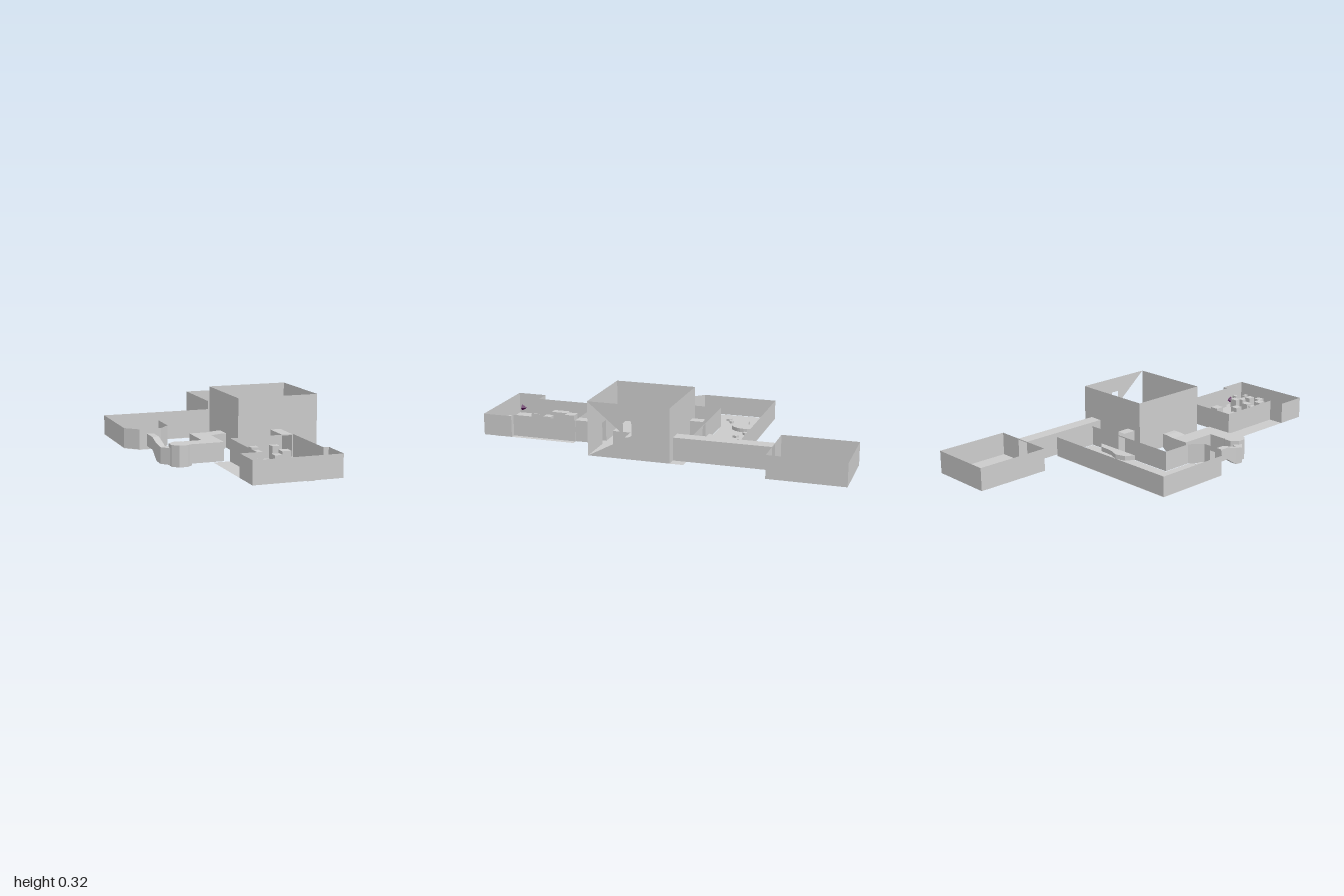
import * as THREE from 'three';

const mat = new THREE.MeshStandardMaterial({ color: 0xcccccc, flatShading: true, side: THREE.DoubleSide });
const purple = new THREE.MeshStandardMaterial({ color: 0x550055, flatShading: true, side: THREE.DoubleSide });
const F = 0.04; // common floor level

function add(group, name, geo, material = mat) {
  const mesh = new THREE.Mesh(geo, material);
  mesh.name = name;
  group.add(mesh);
  return mesh;
}

const shapeOf = pts => new THREE.Shape(pts.map(p => new THREE.Vector2(p[0], p[1])));

// Flat floor from [x, z] points
function floor(group, name, pts, y = F) {
  const geo = new THREE.ShapeGeometry(shapeOf(pts.map(([x, z]) => [x, -z])));
  geo.rotateX(-Math.PI / 2).translate(0, y, 0);
  add(group, name, geo);
}

const rect = (x0, z0, x1, z1) => [[x0, z0], [x0, z1], [x1, z1], [x1, z0]];

// Thin upright panel between two [x, z] points; the outline is [distance, height]
function panel(group, name, a, b, outline) {
  const geo = new THREE.ShapeGeometry(shapeOf(outline));
  geo.rotateY(-Math.atan2(b[1] - a[1], b[0] - a[0])).translate(a[0], 0, a[1]);
  add(group, name, geo);
}

// Wall with doorways [from, to, bottom, top] measured along it
function wall(group, name, a, b, top, doors = [], base = F) {
  const len = Math.hypot(b[0] - a[0], b[1] - a[1]);
  const pts = [[0, base]];
  for (const [s, e, lo, hi] of doors) {
    if (lo > base) { // raised opening: split into a sill below and a notch above
      panel(group, name + 'Sill', a, b, [[s, base], [e, base], [e, lo], [s, lo]]);
    }
    pts.push([s, base], [s, hi], [e, hi], [e, base]);
  }
  pts.push([len, base], [len, top], [0, top]);
  panel(group, name, a, b, pts);
}

// Chain of plain walls through [x, z] points
function walls(group, name, pts, top) {
  for (let i = 0; i < pts.length - 1; i++) wall(group, name, pts[i], pts[i + 1], top);
}

// Closed rectangular passage through sections [xLeft, zLeft, xRight, zRight, bottom, top]
function passage(group, name, sections) {
  const pos = [], idx = [];
  for (const [xa, za, xb, zb, lo, hi] of sections) {
    pos.push(xa, lo, za, xb, lo, zb, xb, hi, zb, xa, hi, za);
  }
  for (let i = 0; i < sections.length - 1; i++) {
    for (let j = 0; j < 4; j++) {
      const a = i * 4 + j, b = i * 4 + (j + 1) % 4;
      idx.push(a, b, a + 4, b, b + 4, a + 4);
    }
  }
  const geo = new THREE.BufferGeometry();
  geo.setAttribute('position', new THREE.Float32BufferAttribute(pos, 3));
  geo.setIndex(idx);
  geo.computeVertexNormals();
  add(group, name, geo);
}

function block(group, name, x0, z0, x1, z1, y0, y1) {
  const geo = new THREE.BoxGeometry(x1 - x0, y1 - y0, z1 - z0);
  geo.translate((x0 + x1) / 2, (y0 + y1) / 2, (z0 + z1) / 2);
  add(group, name, geo);
}

// Low raised rock from [x, z] outline
function rock(group, name, pts, height) {
  const geo = new THREE.ExtrudeGeometry(shapeOf(pts.map(([x, z]) => [x, -z])), { depth: height, bevelEnabled: false });
  geo.rotateX(-Math.PI / 2).translate(0, F, 0);
  add(group, name, geo);
}

function section(parent, name) {
  const g = new THREE.Group();
  g.name = name;
  parent.add(g);
  return g;
}

export function createModel() {
  const model = new THREE.Group();
  model.name = 'dungeonLevel';

  // Back room and its corridor
  const back = section(model, 'backRoom');
  floor(back, 'backFloor', rect(0.165, -1, 0.505, -0.605));
  walls(back, 'backWall', [[0.165, -0.605], [0.165, -1], [0.505, -1], [0.505, -0.605]], 0.16);
  wall(back, 'backDoorWall', [0.165, -0.605], [0.505, -0.605], 0.16, [[0.14, 0.21, F, 0.155]]);
  passage(back, 'backCorridor', [[0.305, -0.605, 0.375, -0.605, F, 0.16], [0.305, -0.1, 0.375, -0.1, F, 0.16]]);

  // Tall central hall
  const hall = section(model, 'hall');
  const T = 0.325;
  floor(hall, 'hallFloor', rect(-0.005, -0.17, 0.428, 0.335));
  wall(hall, 'hallBackWall', [-0.005, -0.1], [0.428, -0.1], T, [[0.04, 0.09, F, 0.165], [0.31, 0.38, F, 0.16]]);
  wall(hall, 'hallFrontWall', [-0.005, 0.335], [0.428, 0.335], T, [[0.175, 0.23, F, 0.155]]);
  wall(hall, 'hallRightWall', [-0.005, -0.1], [-0.005, 0.335], T, [[0.175, 0.26, F, 0.115]]);
  // Broken side wall with its raised doorway
  panel(hall, 'hallLeftWall', [0.428, -0.1], [0.428, 0.335],
    [[0, F], [0.435, F], [0.2, 0.165], [0.2, 0.245], [0.245, 0.245], [0.245, 0.17], [0.435, T], [0, T]]);
  block(hall, 'platform', 0.155, 0, 0.345, 0.23, F, 0.155);
  block(hall, 'platformBridge', 0.345, 0.085, 0.428, 0.135, 0.14, 0.155);
  passage(hall, 'cavePassage', [[0.035, -0.17, 0.085, -0.17, F, 0.165], [0.035, -0.1, 0.085, -0.1, F, 0.165]]);

  // Front room with stepped-in side walls
  const front = section(model, 'frontRoom');
  const H = 0.155;
  passage(front, 'frontCorridor', [[0.17, 0.335, 0.225, 0.335, F, H], [0.17, 0.485, 0.225, 0.485, F, H]]);
  floor(front, 'frontFloor', rect(-0.19, 0.485, 0.258, 1));
  walls(front, 'frontWall', [[-0.105, 0.485], [-0.105, 0.84], [-0.19, 0.84], [-0.19, 1], [0.258, 1],
    [0.258, 0.84], [0.23, 0.84], [0.23, 0.485]], H);
  wall(front, 'frontDoorWall', [-0.105, 0.485], [0.23, 0.485], H, [[0.275, 0.33, F, 0.15]]);
  wall(front, 'partition', [0.005, 0.745], [0.005, 0.84], 0.1);
  // Crates: x, z, width, depth, height
  const crates = [
    [0.01, 0.51, 0.04, 0.04, 0.07], [0.12, 0.51, 0.04, 0.04, 0.07], [-0.02, 0.613, 0.05, 0.055, 0.07],
    [-0.08, 0.7, 0.04, 0.09, 0.06], [0.122, 0.636, 0.048, 0.05, 0.07], [0.047, 0.718, 0.04, 0.042, 0.07],
    [0.092, 0.86, 0.045, 0.04, 0.05], [0.05, 0.865, 0.035, 0.035, 0.04], [0.06, 0.935, 0.042, 0.045, 0.05],
    [0.098, 0.978, 0.04, 0.036, 0.05], [0.135, 0.935, 0.035, 0.04, 0.06], [0.165, 0.91, 0.035, 0.045, 0.05],
    [0.192, 0.873, 0.042, 0.035, 0.05], [0.205, 0.975, 0.015, 0.03, 0.05], [0.24, 0.925, 0.025, 0.02, 0.05],
  ];
  for (const [x, z, w, d, h] of crates) {
    block(front, 'crate', x - w / 2, z - d / 2, x + w / 2, z + d / 2, F - 0.003, F + h);
  }

  // L-shaped cave
  const cave = section(model, 'cave');
  const ring = [[-0.27, -0.17], [-0.27, -0.01], [-0.325, 0.055], [-0.44, 0.055], [-0.505, -0.01],
    [-0.505, -0.42], [0.288, -0.42], [0.288, -0.17]];
  floor(cave, 'caveFloor', ring, F - 0.002);
  ring.forEach((a, i) => {
    const b = ring[(i + 1) % ring.length];
    const doors = i === 2 ? [[0.04, 0.075, 0.055, 0.12]] : i === 7 ? [[0.203, 0.253, F, 0.14]] : [];
    wall(cave, 'caveWall', a, b, 0.145, doors);
  });
  const smooth = pts => new THREE.CatmullRomCurve3(pts.map(([x, z]) => new THREE.Vector3(x, 0, z)), true)
    .getPoints(28).map(p => [p.x, p.z]);
  rock(cave, 'largeRock', smooth([[-0.35, -0.25], [-0.355, -0.31], [-0.29, -0.32], [-0.26, -0.365],
    [-0.205, -0.35], [-0.2, -0.29], [-0.24, -0.24], [-0.29, -0.25]]), 0.02);
  rock(cave, 'endRock', smooth([[-0.47, 0.015], [-0.42, 0.0], [-0.385, -0.045], [-0.345, -0.03],
    [-0.34, 0.02], [-0.38, 0.035], [-0.42, 0.05]]), 0.02);
  rock(cave, 'backLedge', [[-0.055, -0.42], [-0.03, -0.385], [0.03, -0.365], [0.1, -0.35], [0.17, -0.365],
    [0.2, -0.42]], 0.025);
  rock(cave, 'frontLedge', [[-0.04, -0.17], [-0.015, -0.215], [0.04, -0.232], [0.1, -0.21], [0.18, -0.205],
    [0.22, -0.17]], 0.025);
  const stones = [[-0.16, -0.335], [-0.1, -0.3], [-0.05, -0.335], [-0.025, -0.29], [0.02, -0.33], [0.055, -0.265],
    [-0.35, -0.21], [-0.39, -0.185], [-0.375, -0.12], [-0.42, -0.065]];
  stones.forEach(([x, z], k) => {
    const r = 0.014 + 0.004 * (k % 3);
    const pts = Array.from({ length: 5 }, (_, i) => {
      const t = k + i * Math.PI * 0.4;
      return [x + r * Math.cos(t), z + r * Math.sin(t)];
    });
    rock(cave, 'stone', pts, 0.012);
  });

  // Winding tunnel from the cave through an eight-sided chamber to the hall
  const tunnel = section(model, 'tunnel');
  passage(tunnel, 'chute', [
    [-0.4, 0.055, -0.365, 0.055, 0.055, 0.12], [-0.4, 0.15, -0.365, 0.15, 0.055, 0.12],
    [-0.4, 0.22, -0.365, 0.22, 0.01, 0.1], [-0.395, 0.27, -0.365, 0.25, 0.005, 0.09],
    [-0.355, 0.315, -0.335, 0.265, 0.005, 0.09]]);
  const chamber = new THREE.CylinderGeometry(0.058, 0.058, 0.11, 8, 1);
  chamber.rotateY(Math.PI / 8).translate(-0.303, 0.055, 0.31);
  add(tunnel, 'chamber', chamber);
  passage(tunnel, 'bend', [
    [-0.27, 0.262, -0.27, 0.348, 0.012, 0.11], [-0.175, 0.262, -0.085, 0.348, 0.012, 0.11],
    [-0.175, 0.072, -0.085, 0.158, 0.012, 0.11]]);
  passage(tunnel, 'ramp', [
    [-0.175, 0.072, -0.175, 0.158, 0.012, 0.11], [-0.085, 0.072, -0.085, 0.158, 0.014, 0.11],
    [-0.035, 0.072, -0.035, 0.158, 0.018, 0.115], [-0.005, 0.072, -0.005, 0.158, F, 0.115]]);

  // Small floating markers: x, z, heading
  for (const [x, z, turn] of [[0.33, -0.96, Math.PI / 2], [-0.43, 0.015, Math.PI / 2], [0.23, 0.86, 0], [-0.165, 0.96, 0]]) {
    const geo = new THREE.ConeGeometry(0.018, 0.03, 4);
    geo.rotateX(-Math.PI / 2).rotateY(turn).translate(x, 0.078, z);
    add(model, 'marker', geo, purple);
  }
  return model;
}
